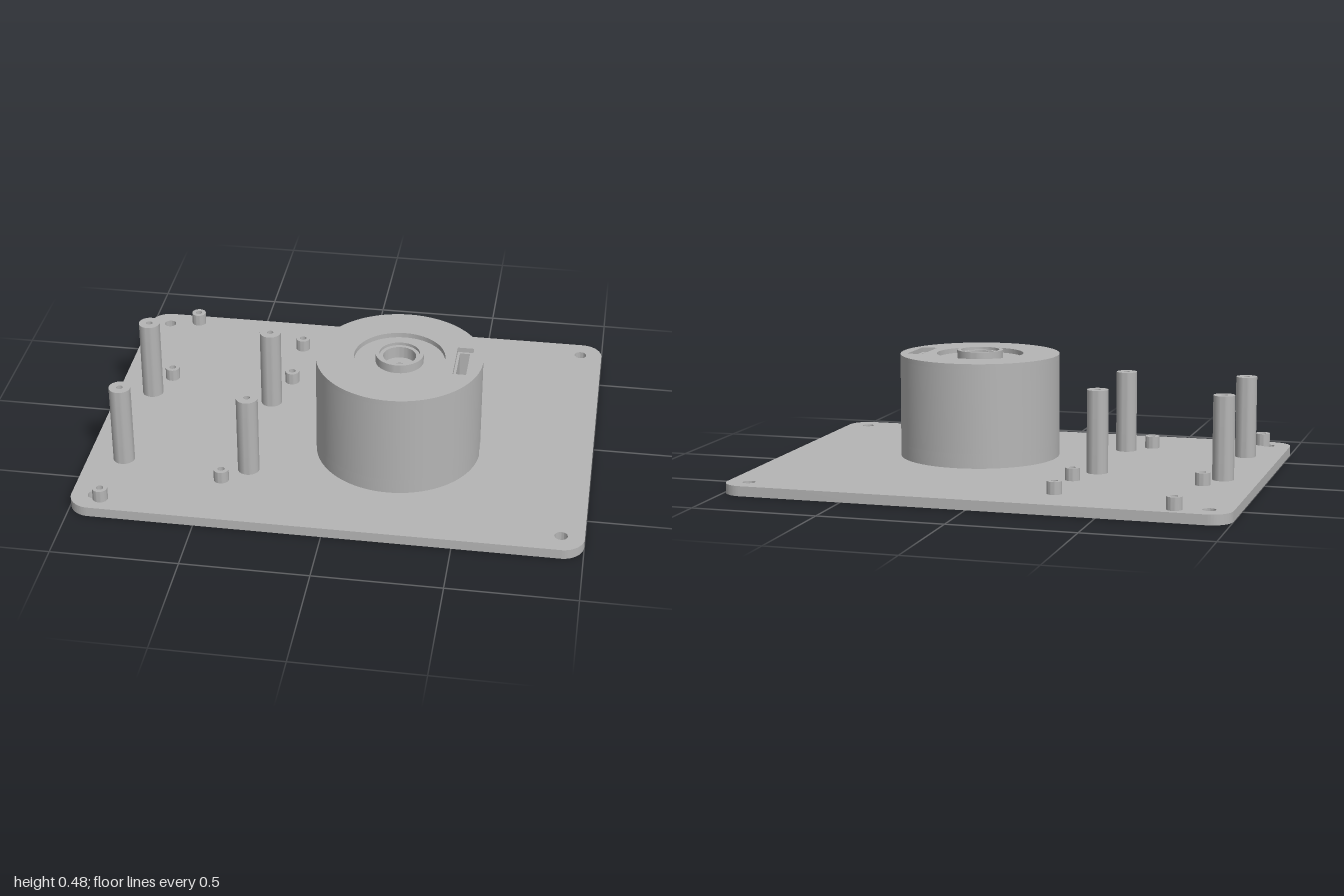
import * as THREE from 'three';
import { toCreasedNormals } from 'three/addons/utils/BufferGeometryUtils.js';

const CX = 0.22, CZ = 0.15; // drum axis
const PLATE_TOP = 0.04;

export function createModel() {
  const model = new THREE.Group();
  const grey = new THREE.MeshStandardMaterial({ color: 0xb5b5b5 });
  grey.name = 'grey plastic';

  const add = (name, geometry, x = 0, y = 0, z = 0) => {
    const mesh = new THREE.Mesh(toCreasedNormals(geometry, 0.5), grey);
    mesh.name = name;
    mesh.position.set(x, y, z);
    model.add(mesh);
  };

  // Outlines are drawn in plan, with shape y = -z, then extruded upwards
  const disc = (r, x = 0, z = 0) => new THREE.Shape().absarc(x, -z, r, 0, Math.PI * 2, false);
  const rect = (x0, x1, z0, z1) => new THREE.Shape([
    new THREE.Vector2(x0, -z1), new THREE.Vector2(x1, -z1),
    new THREE.Vector2(x1, -z0), new THREE.Vector2(x0, -z0)]);
  const extrude = (shape, height, holes = [], segments = 32) => {
    shape.holes.push(...holes);
    return new THREE.ExtrudeGeometry(shape, { depth: height, bevelEnabled: false, curveSegments: segments })
      .rotateX(-Math.PI / 2);
  };

  // Base plate with rounded corners, corner holes and shaft hole
  const W = 1, D = 0.755, R = 0.085;
  const plate = new THREE.Shape();
  plate.absarc(W - R, D - R, R, 0, Math.PI / 2);
  plate.absarc(-W + R, D - R, R, Math.PI / 2, Math.PI);
  plate.absarc(-W + R, -D + R, R, Math.PI, Math.PI * 1.5);
  plate.absarc(W - R, -D + R, R, Math.PI * 1.5, Math.PI * 2);
  plate.closePath();
  const plateHoles = [disc(0.075, CX, CZ)];
  for (const x of [-0.91, 0.91]) for (const z of [-0.67, 0.665]) plateHoles.push(disc(0.025, x, z));
  add('basePlate', extrude(plate, PLATE_TOP, plateHoles));

  // Drum base: the slot opens sideways through a small cable notch
  const R_DRUM = 0.33, notch = 0.025, a = Math.asin(notch / R_DRUM);
  const base = new THREE.Shape();
  base.absarc(0, 0, R_DRUM, a, Math.PI * 2 - a);
  for (const [x, y] of [[0.27, -notch], [0.27, -0.09], [0.23, -0.09], [0.23, 0.09], [0.27, 0.09], [0.27, notch]]) {
    base.lineTo(x, y);
  }
  base.closePath();
  add('drumBase', extrude(base, 0.06, [disc(0.075)], 64), CX, PLATE_TOP, CZ);

  // Drum body, and a rim around the shallow recess
  add('drumBody', extrude(disc(R_DRUM), 0.345, [disc(0.075), rect(0.23, 0.27, -0.09, 0.09)], 64), CX, 0.10, CZ);
  add('drumRim', extrude(disc(R_DRUM), 0.02, [disc(0.18), rect(0.22, 0.285, -0.1, 0.1)], 64), CX, 0.445, CZ);

  // Stepped hub with a small shaft hole
  const hub = [[0.095, 0.445], [0.095, 0.48], [0.08, 0.48], [0.08, 0.468], [0.065, 0.468],
    [0.065, 0.42], [0.025, 0.42], [0.025, 0.40], [0.075, 0.40]];
  add('hub', new THREE.LatheGeometry(hub.map(([r, y]) => new THREE.Vector2(r, y)), 64), CX, 0, CZ);

  // Hollow standoffs
  for (const x of [-0.855, -0.347]) for (const z of [-0.105, 0.4]) {
    add('tallStandoff', extrude(disc(0.043), 0.335, [disc(0.013)], 16), x, PLATE_TOP, z);
  }
  const short = [[-0.785, -0.7], [-0.29, -0.55], [-0.29, -0.277], [-0.798, -0.23], [-0.44, 0.488], [-0.88, 0.685]];
  for (const [x, z] of short) {
    add('shortStandoff', extrude(disc(0.03), 0.05, [disc(0.014)], 16), x, PLATE_TOP, z);
  }
  return model;
}
